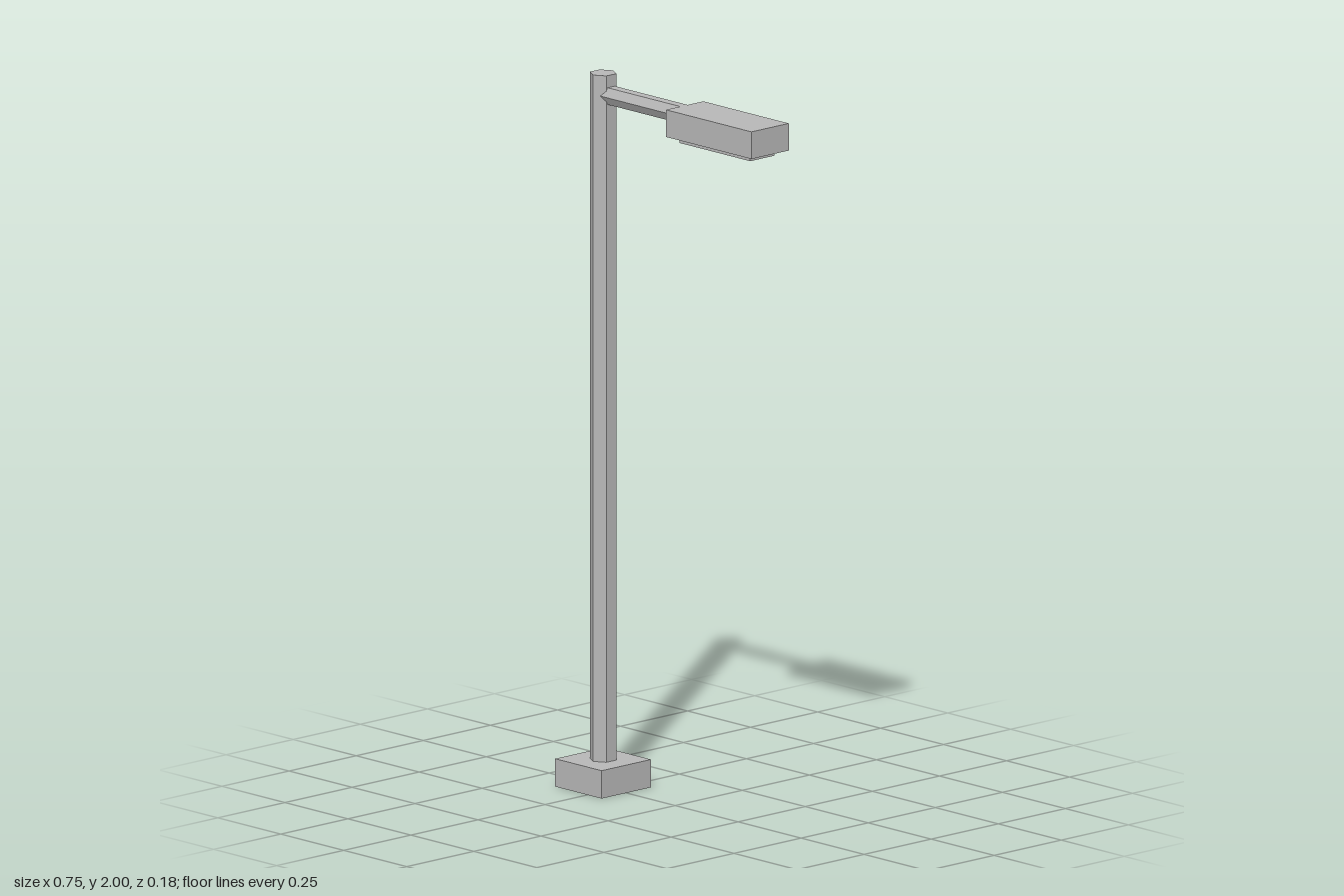
import * as THREE from 'three';

export function createModel() {
  const model = new THREE.Group();
  model.name = 'streetLamp';

  const grey = new THREE.MeshStandardMaterial({ color: 0xb6b6b6 });
  grey.name = 'grey metal';

  const add = (name, geometry, x, y) => {
    // split vertices so every hexagonal side is faceted
    const flat = geometry.toNonIndexed();
    flat.computeVertexNormals();
    const mesh = new THREE.Mesh(flat, grey);
    mesh.name = name;
    mesh.position.set(x, y, 0);
    model.add(mesh);
    return mesh;
  };
  const box = (name, x0, x1, y0, y1, depth) =>
    add(name, new THREE.BoxGeometry(x1 - x0, y1 - y0, depth), (x0 + x1) / 2, (y0 + y1) / 2);

  const poleX = -0.286;

  // square foot and hexagonal post
  box('base', -0.378, -0.194, 0, 0.078, 0.184);
  add('pole', new THREE.CylinderGeometry(0.0375, 0.0375, 1.96, 6), poleX, 1.02);

  // hexagonal arm from the post into the lamp head
  const armEnd = 0.217;
  const arm = new THREE.CylinderGeometry(0.0272, 0.0272, armEnd - poleX, 6).rotateZ(Math.PI / 2);
  add('arm', arm, (poleX + armEnd) / 2, 1.9425);

  // lamp head with a shallow lens below
  box('lampHead', 0.038, 0.377, 1.891, 1.967, 0.139);
  box('lens', 0.066, 0.346, 1.875, 1.9, 0.09);

  return model;
}
